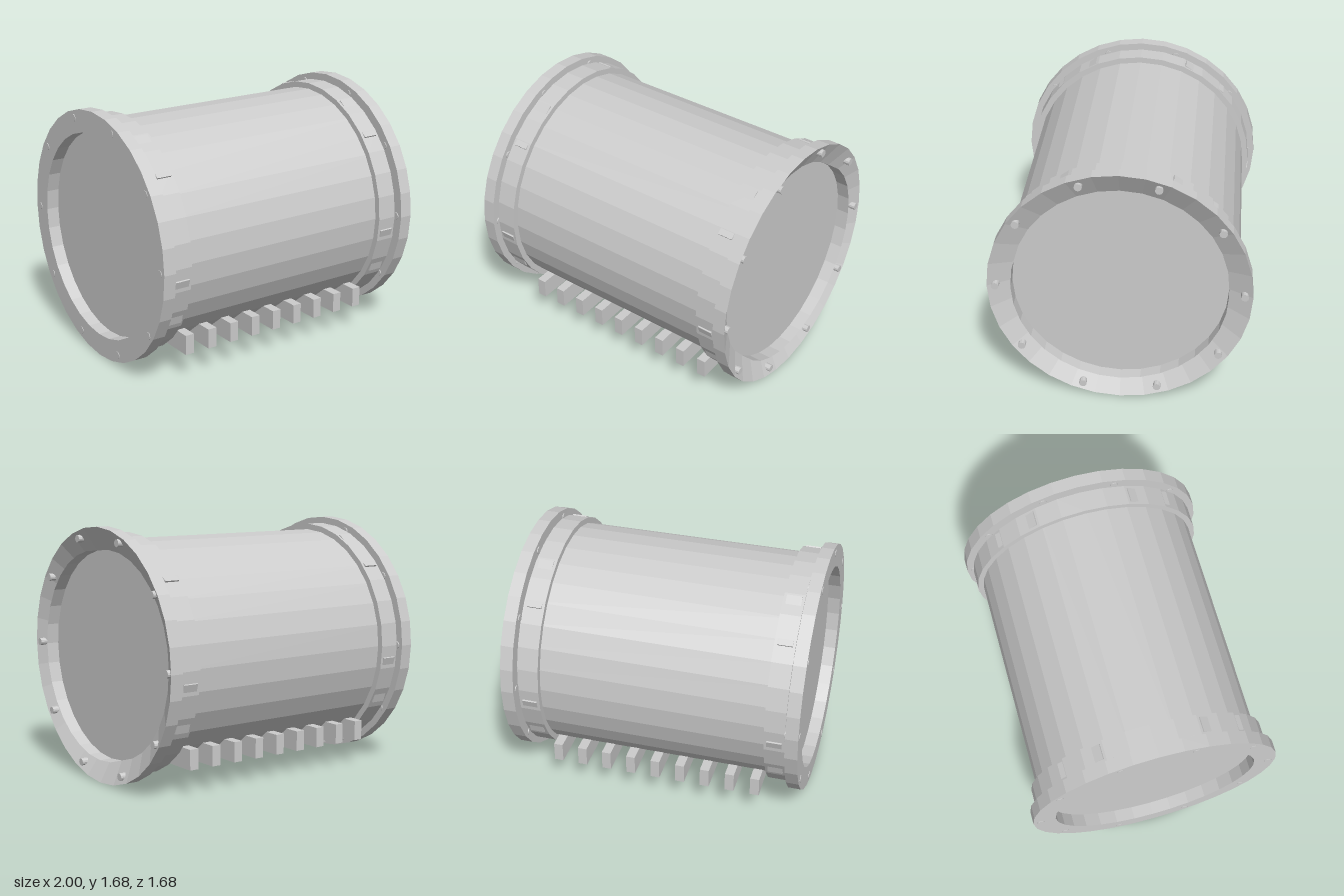
import * as THREE from 'three';

const SIDES = 32;
const CENTER_Y = 0.842;

export function createModel() {
  const model = new THREE.Group();
  const drum = new THREE.Group();
  drum.name = 'drum';
  drum.position.y = CENTER_Y;
  model.add(drum);

  const grey = new THREE.MeshStandardMaterial({ color: 0xcccccc });
  grey.name = 'light grey';
  grey.flatShading = true;

  const add = (geometry, name) => {
    const mesh = new THREE.Mesh(geometry, grey);
    mesh.name = name;
    drum.add(mesh);
    return mesh;
  };

  // Turned part along x; profile points are [radius, x]
  const turned = (points, name) => {
    const g = new THREE.LatheGeometry(points.map(([r, x]) => new THREE.Vector2(r, x)), SIDES);
    return add(g.rotateZ(-Math.PI / 2), name);
  };
  const ring = (inner, outer, x0, x1, name) =>
    turned([[inner, x0], [outer, x0], [outer, x1], [inner, x1], [inner, x0]], name);

  // Main shell with closed ends
  turned([[0, -0.91], [0.758, -0.91], [0.758, 0.908], [0, 0.908]], 'shell');

  // Bands near both ends
  ring(0.74, 0.798, -0.904, -0.768, 'leftBand');
  ring(0.74, 0.798, 0.749, 0.887, 'rightBand');

  // Flat flange on one end, dished flange with an inner lip on the other
  ring(0.69, 0.842, -0.997, -0.912, 'flatFlange');
  turned([[0.69, 0.909], [0.842, 0.907], [0.842, 0.994], [0.69, 0.909]], 'dishedFlange');
  turned([[0.69, 0.909], [0.69, 0.994]].reverse(), 'flangeLip');

  // Ten bolts through each flange
  for (const x of [-0.952, 0.95]) {
    for (let i = 0; i < 10; i++) {
      const a = (i * Math.PI) / 5;
      const bolt = add(new THREE.CylinderGeometry(0.025, 0.025, 0.097, 12).rotateZ(Math.PI / 2), 'bolt');
      bolt.position.set(x, 0.79 * Math.sin(a), 0.79 * Math.cos(a));
    }
  }

  // Five flat pads set into each band, with only their edges showing
  for (const x of [-0.836, 0.818]) {
    for (let i = 0; i < 5; i++) {
      const a = -Math.PI / 2 + (i * Math.PI * 2) / 5;
      const pad = add(new THREE.BoxGeometry(0.1, 0.34, 0.06), 'bandPad');
      pad.position.set(x, 0.757 * Math.sin(a), 0.757 * Math.cos(a));
      pad.rotation.x = -a;
    }
  }

  // Two rows of nine foot blocks
  for (const side of [-1, 1]) {
    for (let i = 0; i < 9; i++) {
      const foot = add(new THREE.BoxGeometry(0.062, 0.134, 0.3), 'footBlock');
      foot.position.set((i - 4) * 0.1735, 0.244 - CENTER_Y, side * 0.5);
    }
  }

  return model;
}
